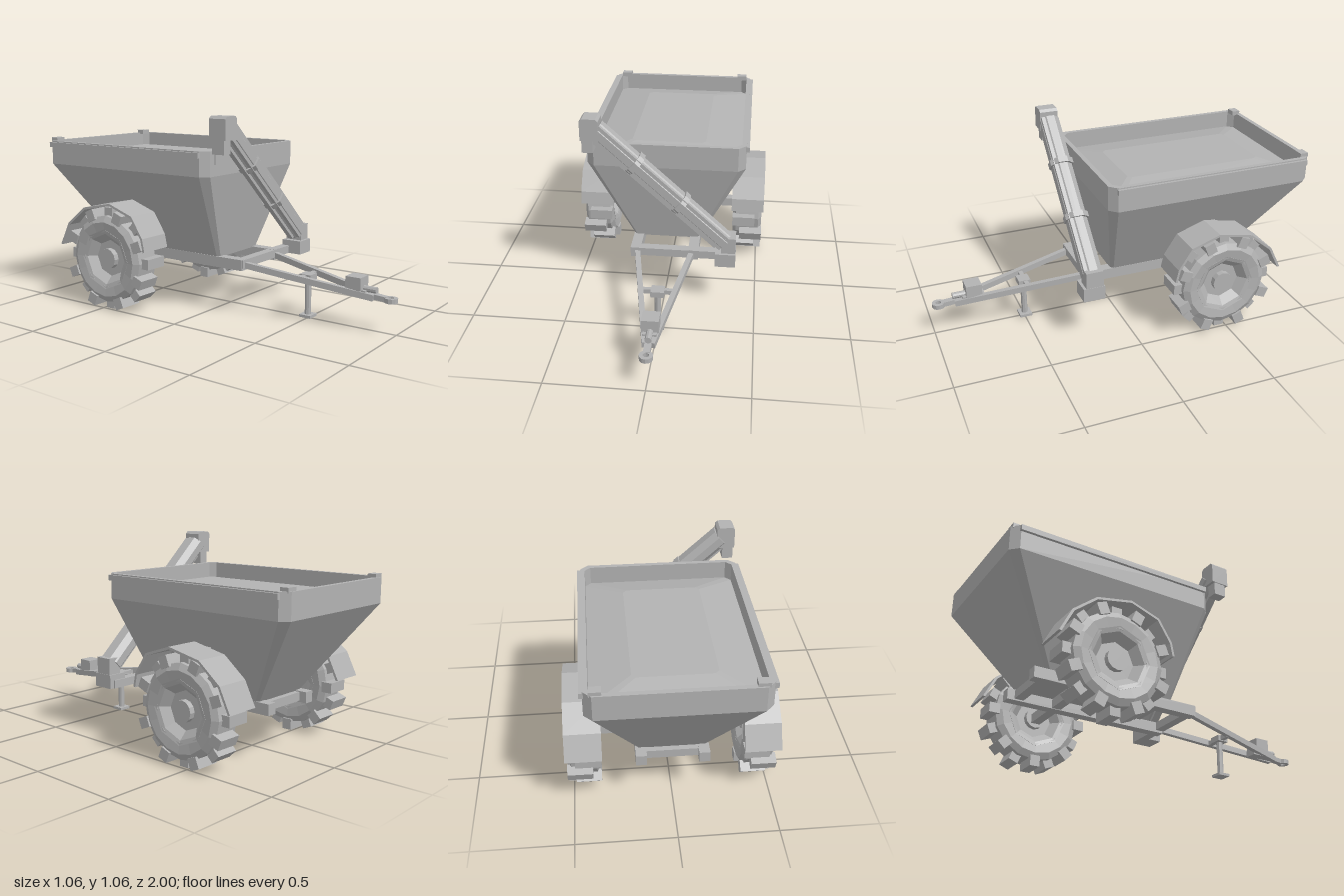
import * as THREE from 'three';

const grey = new THREE.MeshStandardMaterial({ color: 0xb2b2b2, flatShading: true });
grey.name = 'plain grey';
const greyOpen = grey;

export function createModel() {
  const model = new THREE.Group();
  model.name = 'grainTrailer';

  const add = (name, geo, x = 0, y = 0, z = 0, parent = model) => {
    const m = new THREE.Mesh(geo, grey);
    m.name = name;
    m.position.set(x, y, z);
    parent.add(m);
    return m;
  };
  // box given by its limits on each axis
  const box = (name, x0, x1, y0, y1, z0, z1) =>
    add(name, new THREE.BoxGeometry(x1 - x0, y1 - y0, z1 - z0), (x0 + x1) / 2, (y0 + y1) / 2, (z0 + z1) / 2);
  // square bar between two points
  const beam = (name, a, b, w, h) => {
    const p = new THREE.Vector3(...a), q = new THREE.Vector3(...b);
    const m = add(name, new THREE.BoxGeometry(w, h, p.distanceTo(q)), ...p.clone().add(q).multiplyScalar(0.5).toArray());
    m.lookAt(q);
    return m;
  };

  // rectangle with cut corners, counter-clockwise from above
  const ring = (x, z0, z1, c, y) => [
    [-x + c, z1], [x - c, z1], [x, z1 - c], [x, z0 + c],
    [x - c, z0], [-x + c, z0], [-x, z0 + c], [-x, z1 - c],
  ].map(([px, pz]) => [px, y, pz]);
  const loft = (rings) => {
    const pos = [];
    const tri = (...p) => p.forEach((v) => pos.push(...v));
    for (let r = 0; r < rings.length - 1; r++) {
      const a = rings[r], b = rings[r + 1];
      for (let i = 0; i < 8; i++) {
        const j = (i + 1) % 8;
        tri(a[i], a[j], b[j]);
        tri(a[i], b[j], b[i]);
      }
    }
    const bottom = rings[0], top = rings[rings.length - 1];
    for (let i = 1; i < 7; i++) {
      tri(bottom[0], bottom[i + 1], bottom[i]);
      tri(top[0], top[i], top[i + 1]);
    }
    const g = new THREE.BufferGeometry();
    g.setAttribute('position', new THREE.Float32BufferAttribute(pos, 3));
    g.computeVertexNormals();
    return g;
  };

  // hopper shell with rolled rim, and the heaped load inside
  add('hopper', loft([
    ring(0.18, -0.67, 0.05, 0.015, 0.29),
    ring(0.42, -0.995, 0.145, 0.04, 0.75),
    ring(0.42, -0.995, 0.145, 0.04, 0.88),
    ring(0.395, -0.97, 0.12, 0.03, 0.88),
    ring(0.395, -0.97, 0.12, 0.03, 0.77),
  ]));
  add('load', loft([
    ring(0.395, -0.97, 0.12, 0.03, 0.77),
    ring(0.395, -0.97, 0.12, 0.03, 0.785),
    ring(0.2, -0.8, -0.04, 0.02, 0.825),
  ]));
  for (const s of [-1, 1]) {
    add('sideRail', new THREE.BoxGeometry(0.02, 0.028, 1.07), s * 0.425, 0.86, -0.425);
    add('cornerBlock', new THREE.BoxGeometry(0.057, 0.025, 0.045), s * 0.365, 0.885, -0.965);
  }
  box('frontPlate', -0.345, -0.27, 0.81, 0.87, 0.14, 0.152);

  // chassis
  for (const s of [-1, 1]) {
    add('chassisRail', new THREE.BoxGeometry(0.055, 0.058, 0.94), s * 0.157, 0.266, -0.27);
    beam('drawbar', [s * 0.15, 0.266, 0.18], [s * 0.018, 0.168, 0.88], 0.028, 0.032);
  }
  box('frontCrossBeam', -0.18, 0.36, 0.25, 0.294, 0.155, 0.205);
  box('rearCrossBeam', -0.15, 0.15, 0.245, 0.29, -0.7, -0.65);
  box('axle', -0.44, 0.44, 0.24, 0.29, -0.49, -0.44);
  box('drawbarBrace', -0.09, 0.09, 0.205, 0.229, 0.48, 0.504);

  // parking jack
  box('jackMount', -0.035, 0.035, 0.2, 0.232, 0.465, 0.53);
  add('jackPost', new THREE.CylinderGeometry(0.017, 0.017, 0.2, 8), 0, 0.112, 0.498);
  box('jackFoot', -0.035, 0.035, 0, 0.014, 0.464, 0.532);

  // hitch
  box('hitchBox', -0.043, 0.043, 0.195, 0.263, 0.735, 0.82);
  box('hitchPlate', -0.035, 0.035, 0.165, 0.2, 0.72, 0.84);
  beam('hitchNeck', [0, 0.178, 0.8], [0, 0.167, 0.945], 0.034, 0.026);
  add('hitchCylinder', new THREE.CylinderGeometry(0.017, 0.017, 0.08, 10), 0, 0.203, 0.85).rotation.x = Math.PI / 2;
  const eye = new THREE.Shape().absarc(0, 0, 0.034, 0, Math.PI * 2);
  eye.holes.push(new THREE.Path().absarc(0, 0, 0.015, 0, Math.PI * 2, true));
  add('hitchEye', new THREE.ExtrudeGeometry(eye, { depth: 0.024, bevelEnabled: false, curveSegments: 6 }), 0, 0.178, 0.966)
    .rotation.x = Math.PI / 2;

  // unloading auger: eight-sided tube with clamps, lying across the front
  const auger = new THREE.Group();
  auger.name = 'auger';
  auger.position.set(-0.01, 0.682, 0.215);
  auger.rotation.z = -Math.atan2(0.614, 0.675);
  model.add(auger);
  const octTube = (name, ap, len, x) => {
    const g = new THREE.CylinderGeometry(ap / Math.cos(Math.PI / 8), ap / Math.cos(Math.PI / 8), len, 8);
    g.rotateY(Math.PI / 8).rotateZ(Math.PI / 2).scale(1, 0.92, 1);
    add(name, g, x, 0, 0, auger);
  };
  octTube('augerTube', 0.053, 0.915, 0);
  octTube('augerClamp', 0.064, 0.032, -0.185);
  octTube('augerClamp', 0.064, 0.032, 0.135);
  add('augerCover', new THREE.BoxGeometry(0.913, 0.085, 0.075), 0, 0, 0.012, auger);
  add('augerPipe', new THREE.BoxGeometry(0.89, 0.022, 0.03), -0.005, -0.054, 0.005, auger);
  const headProfile = new THREE.Shape([
    [-0.42, 0.94], [-0.325, 0.94], [-0.325, 1.045], [-0.338, 1.058], [-0.408, 1.058], [-0.42, 1.045],
  ].map((p) => new THREE.Vector2(...p)));
  add('augerHead', new THREE.ExtrudeGeometry(headProfile, { depth: 0.1, bevelEnabled: false }), 0, 0, 0.17);
  box('augerSpout', -0.415, -0.358, 0.87, 0.94, 0.185, 0.255);
  box('augerBoot', 0.278, 0.387, 0.25, 0.325, 0.163, 0.28);
  box('augerElbow', 0.31, 0.385, 0.325, 0.413, 0.17, 0.265);

  // wheels, mirrored left and right
  const tire = [
    [0.15, 0.075], [0.205, 0.083], [0.238, 0.065], [0.238, -0.065], [0.205, -0.083], [0.15, -0.075], [0.15, 0.075],
  ].map((p) => new THREE.Vector2(...p)).reverse();
  const rim = [
    [0, 0.03], [0.1, 0.03], [0.14, 0.07], [0.165, 0.078], [0.165, -0.078], [0.14, -0.07], [0.1, -0.03], [0, -0.03],
  ].map((p) => new THREE.Vector2(...p)).reverse();
  // fender outline from front to back as [z, y]
  const arc = [
    [-0.168, 0.35], [-0.183, 0.42], [-0.255, 0.53], [-0.41, 0.583], [-0.6, 0.545], [-0.725, 0.445], [-0.787, 0.322],
  ];
  const fenderShape = new THREE.Shape([
    ...arc, ...arc.map(([z, y]) => [-0.465 + (z + 0.465) * 0.96, 0.27 + (y - 0.27) * 0.96]).reverse(),
  ].map(([z, y]) => new THREE.Vector2(-z, y)));

  for (const s of [-1, 1]) {
    const wheel = new THREE.Group();
    wheel.name = s > 0 ? 'leftWheel' : 'rightWheel';
    wheel.position.set(s * 0.44, 0.272, -0.465);
    model.add(wheel);
    add('tire', new THREE.LatheGeometry(tire, 16), 0, 0, 0, wheel).rotation.z = -s * Math.PI / 2;
    add('rim', new THREE.LatheGeometry(rim, 8), 0, 0, 0, wheel).rotation.z = -s * Math.PI / 2;
    add('hub', new THREE.CylinderGeometry(0.056, 0.056, 0.12, 12), 0, 0, 0, wheel).rotation.z = Math.PI / 2;
    for (let i = 0; i < 16; i++) {
      // tread lugs alternate between the inner and outer shoulder
      const a = (i / 16) * Math.PI * 2;
      const side = i % 2 ? 1 : -1;
      const lug = add('treadLug', new THREE.BoxGeometry(0.128, 0.055, 0.06),
        s * side * 0.021, Math.sin(a) * 0.249, Math.cos(a) * 0.249, wheel);
      lug.rotation.x = -a;
    }
    const fender = add('fender', new THREE.ExtrudeGeometry(fenderShape, { depth: 0.182, bevelEnabled: false }),
      s > 0 ? 0.349 : -0.531, 0, 0);
    fender.rotation.y = Math.PI / 2;
    add('fenderBracket', new THREE.BoxGeometry(0.1, 0.045, 0.05), s * 0.315, 0.538, -0.465);
  }
  return model;
}
